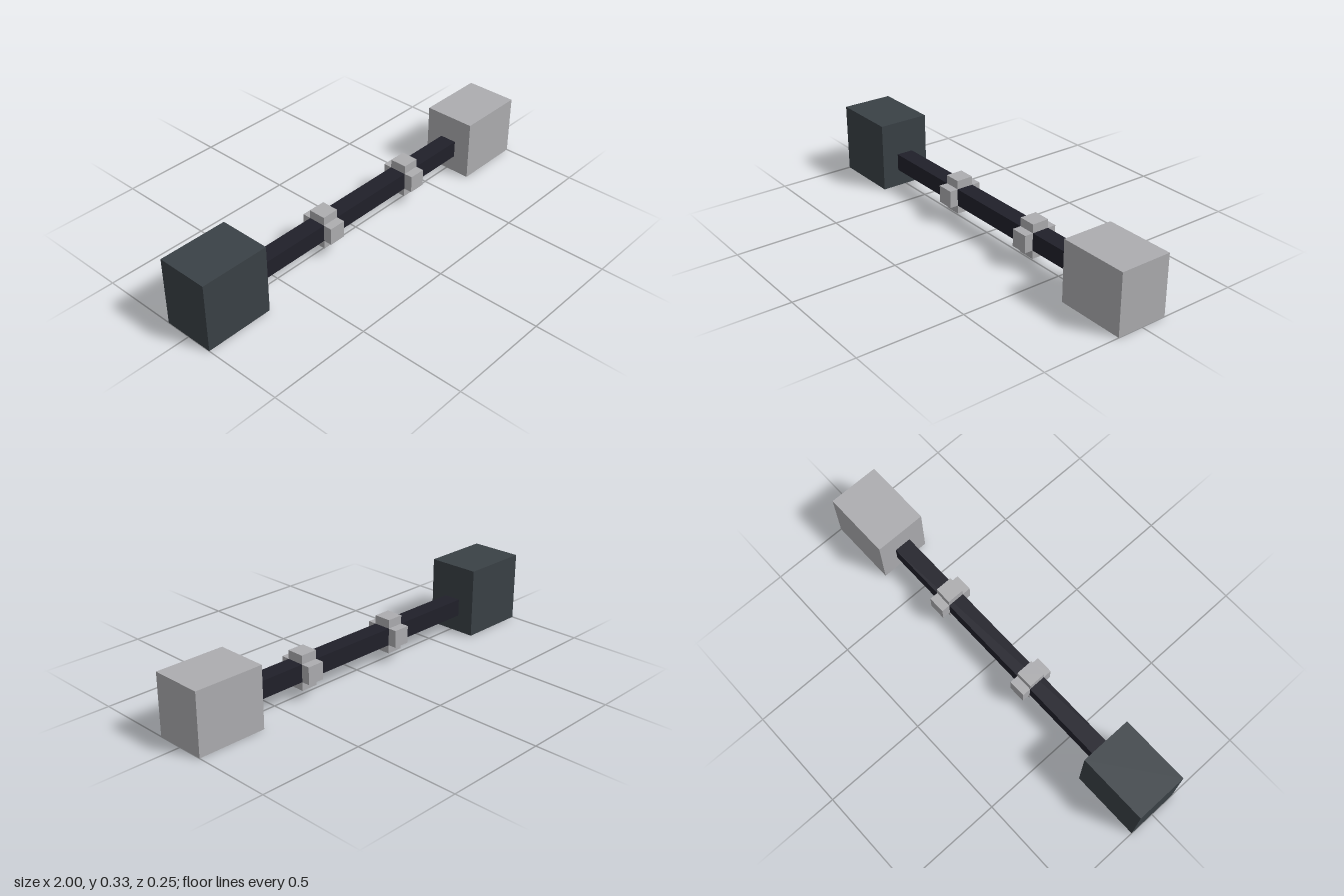
import * as THREE from 'three';

const U = 1 / 24; // block unit

export function createModel() {
  const group = new THREE.Group();
  const mat = (name, color) => {
    const m = new THREE.MeshStandardMaterial({ color });
    m.name = name;
    return m;
  };
  const lightGrey = mat('light grey', 0xadadb0);
  const slate = mat('dark slate', 0x3a4146);
  const black = mat('blue black', 0x20202a);

  // Box given by its size and centre in block units
  const box = (parent, name, material, [w, h, d], [x, y, z]) => {
    const mesh = new THREE.Mesh(new THREE.BoxGeometry(w * U, h * U, d * U), material);
    mesh.name = name;
    mesh.position.set(x * U, y * U, z * U);
    parent.add(mesh);
  };

  // Heads at both ends, joined by a square shaft
  box(group, 'darkHead', slate, [8, 8, 6], [-20, 4, 0]);
  box(group, 'lightHead', lightGrey, [8, 7, 6], [20, 3.5, 0]);
  box(group, 'shaft', black, [32, 2, 2], [0, 3, 0]);

  // Collars: four pads, one on each side of the shaft
  for (const x of [-5, 8]) {
    const collar = new THREE.Group();
    collar.name = 'collar';
    for (const s of [-1, 1]) {
      box(collar, s > 0 ? 'topPad' : 'bottomPad', lightGrey, [2, 1, 2], [x, 3 + 1.5 * s, 0]);
      box(collar, s > 0 ? 'frontPad' : 'backPad', lightGrey, [2, 2, 1], [x, 3, 1.5 * s]);
    }
    group.add(collar);
  }
  return group;
}
